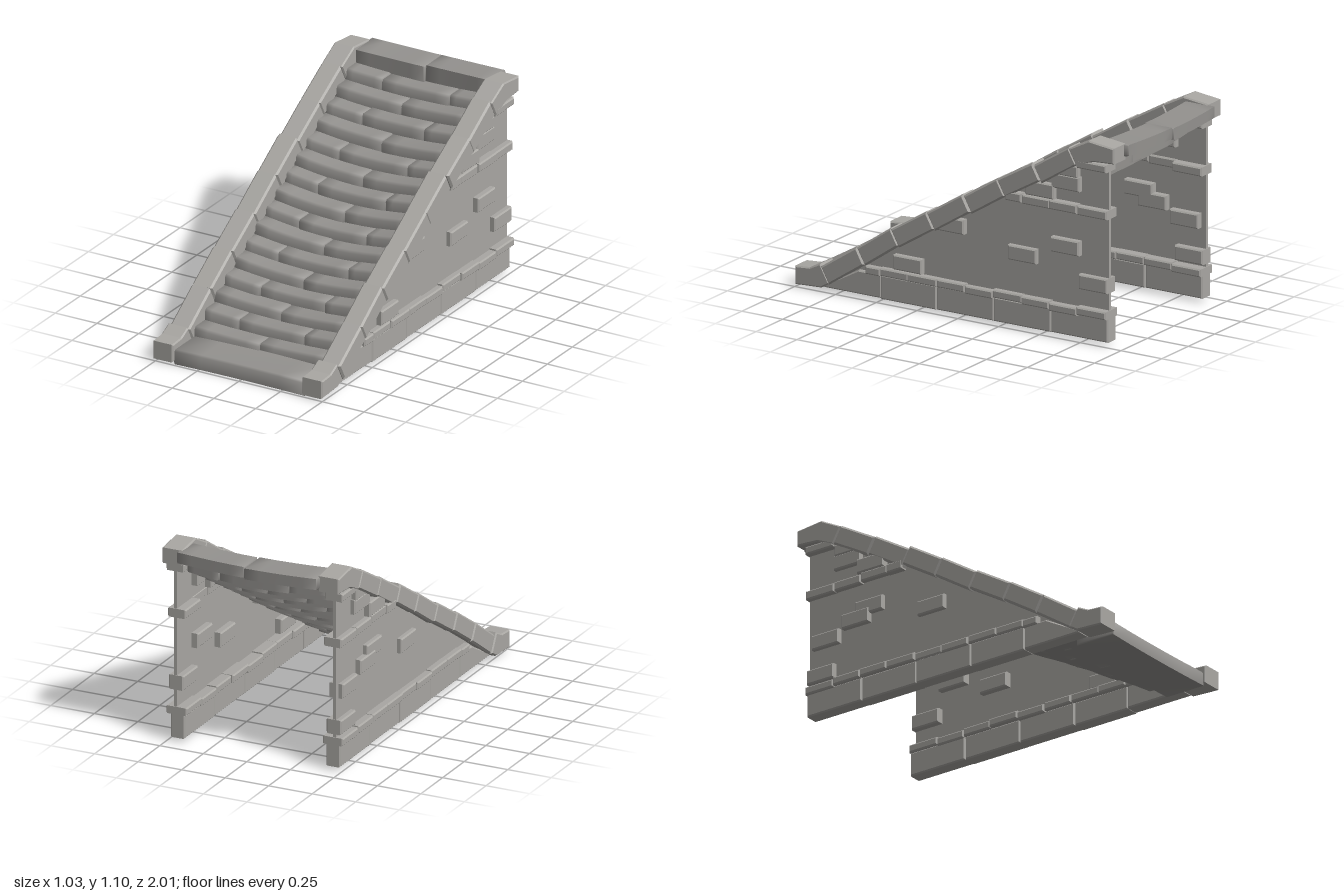
import * as THREE from 'three';
import { toCreasedNormals } from 'three/addons/utils/BufferGeometryUtils.js';

const stone = new THREE.MeshStandardMaterial({ color: 0xa9a7a3 });
const wornStone = new THREE.MeshStandardMaterial({ color: 0x94928f });

// Small seeded jitter so the masonry looks hand laid
let seed = 7;
function jitter(amount) {
  seed = (seed * 16807) % 2147483647;
  return (seed / 2147483647 - 0.5) * 2 * amount;
}

// Chamfered stone: a [z, y] side profile extruded from x0 to x1
function stoneBlock(name, profile, x0, x1, bevel = 0.007, steps = 1) {
  const shape = new THREE.Shape(profile.map(([z, y]) => new THREE.Vector2(-z, y)));
  const geo = new THREE.ExtrudeGeometry(shape, {
    depth: x1 - x0 - 2 * bevel, steps,
    bevelEnabled: bevel > 0, bevelThickness: bevel, bevelSize: bevel, bevelOffset: -bevel, bevelSegments: 1,
  });
  geo.rotateY(Math.PI / 2).translate(x0 + bevel, 0, 0);
  const mesh = new THREE.Mesh(geo, stone);
  mesh.name = name;
  return mesh;
}

// Worn stone across the stair: hollowed towards the middle, with rounded edges
function wornBlock(name, profile, x0, x1, sagY, sagZ) {
  const mesh = stoneBlock(name, profile, x0, x1, 0.006, 5);
  const p = mesh.geometry.attributes.position;
  for (let i = 0; i < p.count; i++) {
    const hollow = 1 - Math.min(1, (p.getX(i) / 0.39) ** 2);
    p.setY(i, p.getY(i) - sagY * hollow);
    p.setZ(i, p.getZ(i) - sagZ * hollow);
  }
  mesh.geometry = toCreasedNormals(mesh.geometry, 1.2);
  mesh.material = wornStone;
  return mesh;
}

const rect = (z0, z1, y0, y1) => [[z0, y0], [z0, y1], [z1, y1], [z1, y0]];

// Block on one side of the stair; inner and outer are distances from the middle
function sideBlock(name, side, profile, inner, outer, bevel) {
  return side > 0
    ? stoneBlock(name, profile, inner, outer, bevel)
    : stoneBlock(name, profile, -outer, -inner, bevel);
}

// Treads laid in running bond
function buildSteps() {
  const group = new THREE.Group();
  group.name = 'steps';
  const slab = [[0.985, 0], [0.985, 0.07], [0.975, 0.08], [0.75, 0.08], [0.75, 0]];
  group.add(wornBlock('bottomSlab', slab, -0.4, 0.39, 0, 0.008));

  for (let k = 1; k <= 16; k++) {
    const front = 0.78 - (k - 1) * 0.1007;
    const top = 0.135 + (k - 1) * 0.058;
    const sag = 0.015 + 0.027 * Math.sin((Math.PI * k) / 17);
    const cuts = k % 2
      ? [-0.4, jitter(0.02), 0.4]
      : [-0.4, -0.2 + jitter(0.02), 0.2 + jitter(0.02), 0.4];
    for (let i = 0; i < cuts.length - 1; i++) {
      const z = front + jitter(0.006);
      const y = top + jitter(0.003);
      const profile = [[z, y - 0.074], [z, y - 0.014], [z - 0.012, y], [z - 0.145, y], [z - 0.145, y - 0.066]];
      group.add(wornBlock('treadStone', profile, cuts[i] - 0.002, cuts[i + 1] + 0.002, sag, 0.015));
    }
  }

  const topSlab = (z0, z1, y) => [[z0, y - 0.11], [z0, y], [z1, y], [z1, y - 0.06], [z0 - 0.06, y - 0.08]];
  group.add(wornBlock('topSlab', topSlab(-0.82, -0.994, 1.078), -0.4, 0.015, 0.008, 0.012));
  group.add(wornBlock('topSlab', topSlab(-0.835, -0.988, 1.082), 0.013, 0.41, 0.008, 0.012));
  return group;
}

// Sloping, slightly bowed coping of blocks with square-cut joints
const slopeTop = (z) => 0.145 + (0.84 - z) * 0.582 + 0.024 * Math.sin((Math.PI * (0.84 - z)) / 1.64);
function buildRail(side) {
  const group = new THREE.Group();
  group.name = side > 0 ? 'leftRail' : 'rightRail';
  const cuts = [0.84, 0.62, 0.41, 0.19, -0.03, -0.24, -0.46, -0.68];
  const under = (z, y) => [z - 0.05, y - 0.09];

  const foot = [[1, 0.012], [1, 0.112], [0.91, 0.118], [0.845, 0.15], [0.79, 0.05], [0.84, 0.02]];
  group.add(sideBlock('railFoot', side, foot, 0.387 - side * 0.009, 0.508 - side * 0.009));
  for (let i = 0; i < cuts.length - 1; i++) {
    const [a, b] = [cuts[i], cuts[i + 1]];
    const ya = slopeTop(a) - 0.004 + jitter(0.006);
    const yb = slopeTop(b) + 0.004 + jitter(0.006);
    const shift = jitter(0.004);
    const profile = [under(a, ya), [a, ya], [b, yb], under(b, yb)];
    group.add(sideBlock('railBlock', side, profile, 0.39 + shift, 0.507 + shift, 0.01));
  }
  const z = cuts[cuts.length - 1];
  const head = [under(z, slopeTop(z)), [z, slopeTop(z)], [-0.805, 1.1], [-0.96, 1.083], [-0.96, 0.998], [-0.83, 0.99]];
  group.add(sideBlock('railHead', side, head, 0.388, 0.508));
  return group;
}

// Exposed bricks in each wall: front end z and bottom y
const highBricks = [[-0.41, 0.74], [-0.565, 0.805]];
const leftBricks = [[0.4, 0.195], [0.14, 0.455], [-0.3, 0.37], [-0.565, 0.46], [-0.735, 0.285]];
const rightBricks = [[-0.03, 0.4], [-0.425, 0.505], [-0.51, 0.455], [-0.705, 0.39], [-0.735, 0.2]];

// Thin plastered wall with a plinth, string courses and exposed bricks
function buildSideWall(side) {
  const group = new THREE.Group();
  group.name = side > 0 ? 'leftWall' : 'rightWall';
  const panel = [[0.78, 0.03], [0.78, 0.08], [-0.8, 1.03], [-0.905, 1.03], [-0.905, 0.03]];
  group.add(sideBlock('wallPanel', side, panel, 0.448, 0.466, 0));

  const tip = [[0.83, 0.022], [0.83, 0.035], [0.62, 0.15], [0.48, 0.15], [0.48, 0.022]];
  group.add(sideBlock('plinthBlock', side, tip, 0.405, 0.487));
  const plinth = [0.48, 0.14, -0.21, -0.56, -0.908];
  for (let i = 0; i < plinth.length - 1; i++) {
    const shift = jitter(0.005);
    group.add(sideBlock('plinthBlock', side, rect(plinth[i], plinth[i + 1], 0.02, 0.15), 0.405 + shift, 0.487 + shift));
  }

  // Courses: joints along z, bottom and top heights, inner face
  const courses = [
    [[0.57, 0.48, 0.31, 0.13, -0.04, -0.21, -0.39, -0.56, -0.73, -0.91], 0.145, 0.188, 0.385],
    [[-0.29, -0.39, -0.56, -0.73], 0.688, 0.737, 0.44],
    [[-0.73, -0.91], 0.686, 0.735, 0.4],
    [[-0.73, -0.91], 0.942, 0.985, 0.4],
  ];
  for (const [cuts, y0, y1, inner] of courses) {
    for (let i = 0; i < cuts.length - 1; i++) {
      const dy = jitter(0.005);
      const shift = jitter(0.006);
      group.add(sideBlock('courseStone', side, rect(cuts[i], cuts[i + 1], y0 + dy, y1 + dy), inner + shift, 0.504 + shift));
    }
  }

  for (const [z, y] of [...highBricks, ...(side > 0 ? leftBricks : rightBricks)]) {
    group.add(sideBlock('exposedBrick', side, rect(z, z - 0.173, y, y + 0.08), 0.41, 0.497 + jitter(0.006)));
  }
  // Short brick tucked under the head of the rail
  group.add(sideBlock('exposedBrick', side, rect(-0.61, -0.73, 0.88, 0.945), 0.41, 0.497));
  return group;
}

export function createModel() {
  const model = new THREE.Group();
  model.name = 'stoneStaircase';
  model.add(buildSteps());
  for (const side of [1, -1]) {
    model.add(buildRail(side), buildSideWall(side));
  }
  return model;
}
